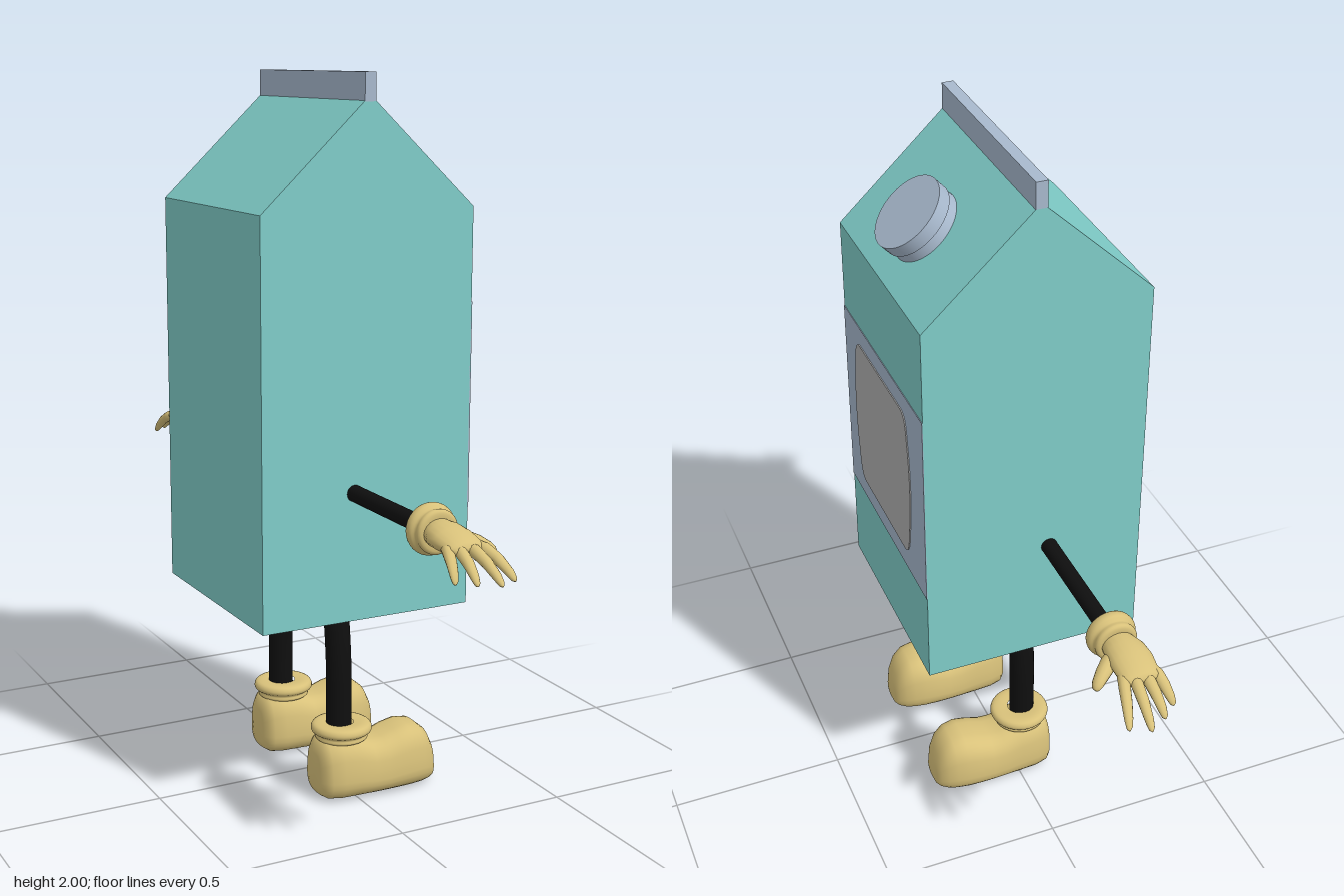
import * as THREE from 'three';

const mat = (name, color) => {
  const m = new THREE.MeshStandardMaterial({ color });
  m.name = name;
  return m;
};

// Smooth closed skin through sections [z, x, y, halfWidth, halfHeight] along +z.
// power < 1 squares the sections, taper narrows their upper side.
function loft(sections, power = 1, taper = 0, n = 20) {
  const pos = [], idx = [];
  const soft = v => Math.sign(v) * Math.pow(Math.abs(v), power);
  for (const [z, x, y, w, h] of sections) {
    for (let j = 0; j < n; j++) {
      const a = (j / n) * Math.PI * 2;
      const s = soft(Math.sin(a));
      pos.push(x + w * soft(Math.cos(a)) * (1 - taper * (s + 1) / 2), y + h * s, z);
    }
  }
  const last = sections.length - 1;
  for (let i = 0; i < last; i++) {
    for (let j = 0; j < n; j++) {
      const k = (j + 1) % n;
      const a = i * n + j, b = i * n + k, c = a + n, d = b + n;
      idx.push(a, b, c, b, d, c);
    }
  }
  const start = pos.length / 3;
  for (const s of [sections[0], sections[last]]) pos.push(s[1], s[2], s[0]);
  for (let j = 0; j < n; j++) {
    const k = (j + 1) % n;
    idx.push(start, k, j, start + 1, last * n + j, last * n + k);
  }
  const g = new THREE.BufferGeometry();
  g.setAttribute('position', new THREE.Float32BufferAttribute(pos, 3));
  g.setIndex(idx);
  g.computeVertexNormals();
  return g;
}

// Soft rolled cuff around the y axis
function cuffGeometry(r, h) {
  const profile = [[0.4, -1], [0.72, -1], [0.86, -0.75], [0.84, -0.3], [0.97, 0], [1, 0.4], [0.92, 0.85], [0.7, 1], [0.4, 0.9]];
  return new THREE.LatheGeometry(
    new THREE.SplineCurve(profile.map(([x, y]) => new THREE.Vector2(x * r, y * h / 2))).getPoints(24), 32);
}

export function createModel() {
  const teal = mat('carton teal', 0x80cdc9);
  const blueGrey = mat('blue grey', 0xa8b9cd);
  const grey = mat('panel grey', 0xb1b1b1);
  const black = mat('limb black', 0x0f0f0f);
  const tan = mat('glove tan', 0xd8c17a);
  const model = new THREE.Group();
  model.name = 'cartonFigure';

  const add = (parent, name, geometry, material, x = 0, y = 0, z = 0) => {
    const m = new THREE.Mesh(geometry, material);
    m.name = name;
    m.position.set(x, y, z);
    parent.add(m);
    return m;
  };

  // Carton with gable roof
  const outline = new THREE.Shape([
    [-0.322, 0.55], [0.303, 0.55], [0.303, 1.65], [0.006, 1.928], [-0.026, 1.928], [-0.322, 1.65],
  ].map(p => new THREE.Vector2(...p)));
  add(model, 'carton', new THREE.ExtrudeGeometry(outline, { depth: 0.626, bevelEnabled: false }), teal, 0, 0, -0.314);
  add(model, 'topSeam', new THREE.BoxGeometry(0.032, 0.074, 0.626), blueGrey, -0.01, 1.963, -0.001);

  // Label band and its panel, on the +x side
  add(model, 'labelBand', new THREE.BoxGeometry(0.004, 0.57, 0.626), blueGrey, 0.303, 1.11, -0.001);
  const s = new THREE.Shape();
  s.moveTo(-0.165, -0.228);
  s.lineTo(0.165, -0.228);
  s.bezierCurveTo(0.2, -0.225, 0.204, -0.19, 0.21, -0.145);
  s.quadraticCurveTo(0.236, 0, 0.21, 0.145);
  s.bezierCurveTo(0.204, 0.19, 0.2, 0.225, 0.165, 0.228);
  s.lineTo(-0.165, 0.228);
  s.bezierCurveTo(-0.2, 0.225, -0.204, 0.19, -0.21, 0.145);
  s.quadraticCurveTo(-0.236, 0, -0.21, -0.145);
  s.bezierCurveTo(-0.204, -0.19, -0.2, -0.225, -0.165, -0.228);
  add(model, 'labelPanel', new THREE.ExtrudeGeometry(s, { depth: 0.005, bevelEnabled: false }), grey, 0.303, 1.113, 0.012)
    .rotation.y = Math.PI / 2;

  // Screw cap, square to the roof slope
  const cap = new THREE.Group();
  cap.name = 'screwCap';
  cap.position.set(0.176, 1.77, -0.008);
  cap.rotation.z = -0.751;
  add(cap, 'capNeck', new THREE.CylinderGeometry(0.1, 0.106, 0.04, 40), blueGrey, 0, 0.012, 0);
  add(cap, 'capLid', new THREE.CylinderGeometry(0.108, 0.108, 0.038, 40), blueGrey, 0, 0.049, 0);
  model.add(cap);

  // Finger: tapered, drooping loft from knuckle to rounded tip
  const finger = (x0, x1, z0, z1, y0, y1, r) => {
    const rows = [[0, 0.9], [0.3, 1], [0.6, 0.9], [0.85, 0.72], [0.96, 0.5], [1, 0.15]];
    return loft(rows.map(([t, k]) => [
      z0 + (z1 - z0) * t, x0 + (x1 - x0) * t, y0 + (y1 - y0) * t * t, r * k, r * k]), 1, 0, 12);
  };

  for (const side of [1, -1]) {
    const label = side > 0 ? 'front' : 'back';

    // Arm and gloved hand, built along +z and turned round for the other side
    const arm = new THREE.Group();
    arm.name = label + 'Arm';
    arm.position.set(-0.05, 0.905, 0);
    arm.rotation.y = side > 0 ? 0 : Math.PI;
    add(arm, 'sleeve', new THREE.CylinderGeometry(0.023, 0.023, 0.42, 20), black, 0, 0, 0.5).rotation.x = Math.PI / 2;
    add(arm, 'gloveCuff', cuffGeometry(0.067, 0.062), tan, 0, 0.002, 0.716).rotation.x = -Math.PI / 2;
    add(arm, 'palm', loft([
      [0.7, 0, 0, 0.03, 0.03], [0.74, 0, 0.002, 0.042, 0.036], [0.78, -0.004, 0.005, 0.054, 0.034],
      [0.82, -0.005, 0.003, 0.057, 0.031], [0.86, -0.004, -0.002, 0.054, 0.025],
      [0.88, -0.003, -0.005, 0.048, 0.018], [0.888, -0.003, -0.006, 0.036, 0.008],
    ].map(([z, x, ...r]) => [z, x * side, ...r])), tan);
    [[-0.042, -0.068, 0.935], [-0.018, -0.028, 0.97], [0.01, 0.022, 0.998], [0.034, 0.072, 0.975]].forEach(([a, b, z], i) =>
      add(arm, 'finger' + (i + 1), finger(a * side, b * side, 0.845, z, -0.004, -0.066, 0.0165), tan));
    add(arm, 'thumb', finger(0, 0, 0, 0.105, 0, -0.03, 0.022), tan, 0.024 * side, -0.005, 0.775)
      .rotation.y = side * 0.88;
    model.add(arm);

    // Bowed leg
    const leg = new THREE.CatmullRomCurve3([[0.6, 0.155], [0.52, 0.17], [0.38, 0.185], [0.18, 0.187]]
      .map(([y, z]) => new THREE.Vector3(-0.03, y, z * side)));
    add(model, label + 'Leg', new THREE.TubeGeometry(leg, 24, 0.036, 20), black);

    // Shoe with a bulbous toe, pointing to +x
    const shoe = new THREE.Group();
    shoe.name = label + 'Shoe';
    shoe.position.z = 0.187 * side;
    add(shoe, 'shoeBody', loft([
      [-0.106, 0.04, 0.03, 0.13], [-0.1, 0.065, 0.012, 0.155], [-0.085, 0.085, 0.003, 0.175], [-0.05, 0.097, 0, 0.185],
      [0, 0.1, 0, 0.178], [0.05, 0.1, 0, 0.157], [0.09, 0.102, 0, 0.158], [0.13, 0.104, 0, 0.172], [0.17, 0.103, 0, 0.181],
      [0.205, 0.095, 0, 0.176], [0.23, 0.083, 0.002, 0.155], [0.248, 0.065, 0.006, 0.12], [0.257, 0.045, 0.012, 0.08],
      [0.26, 0.02, 0.02, 0.05],
    ].map(([z, w, lo, hi]) => [z, 0, (lo + hi) / 2, w, (hi - lo) / 2]), 0.68, 0.22, 32), tan).rotation.y = Math.PI / 2;
    add(shoe, 'shoeCuff', cuffGeometry(0.086, 0.05), tan, -0.022, 0.188, 0);
    model.add(shoe);
  }
  return model;
}
